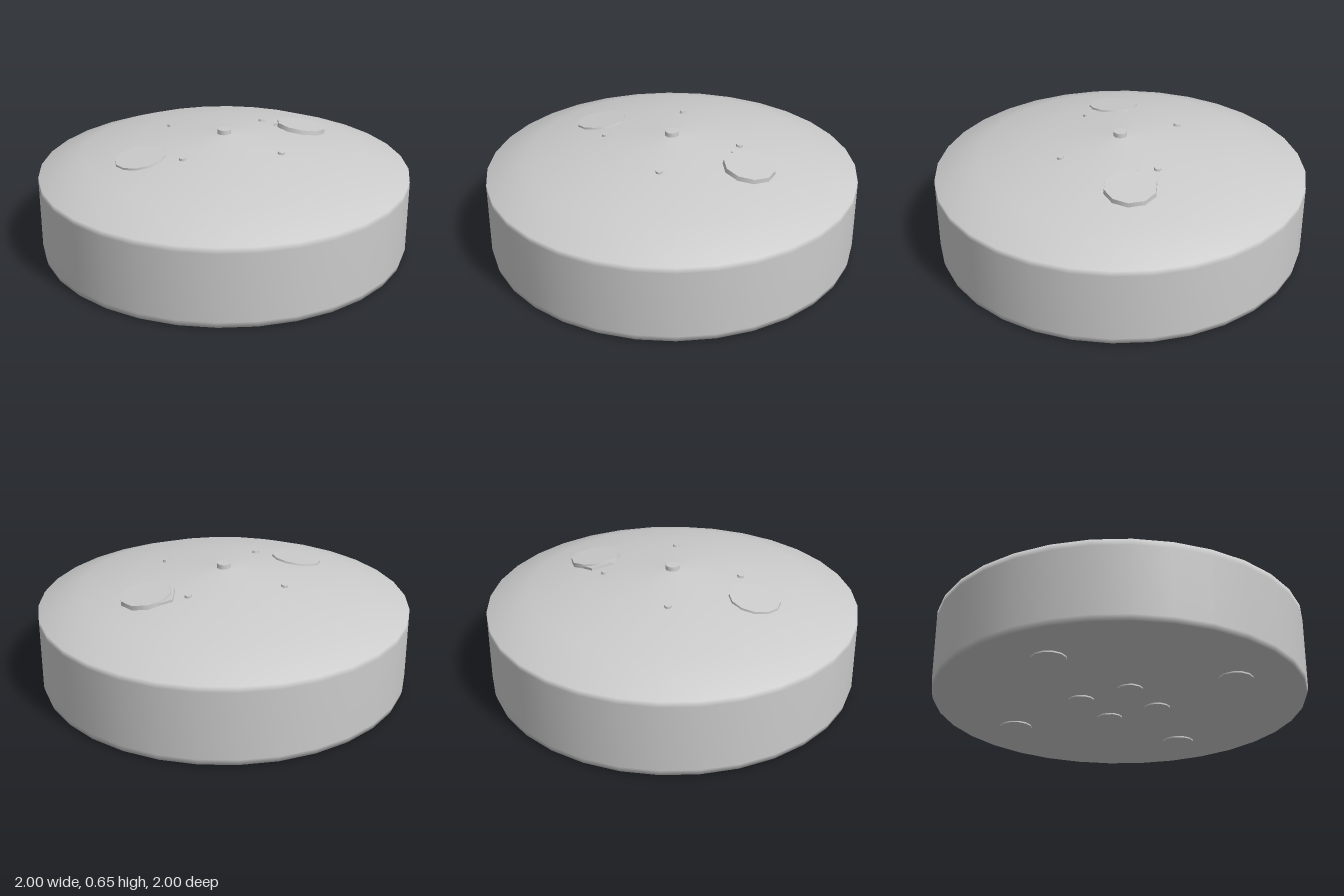
import * as THREE from 'three';

const material = new THREE.MeshStandardMaterial({ color: 0xcccccc });

// Dome outline from the crown down to the shoulder: [radius, height]
const dome = [[0, 0.63], [0.24, 0.606], [0.48, 0.574], [0.77, 0.52], [1, 0.432]];

function domeHeight(r) {
  for (let i = 1; i < dome.length; i++) {
    const [r0, y0] = dome[i - 1], [r1, y1] = dome[i];
    if (r <= r1) return y0 + (y1 - y0) * (r - r0) / (r1 - r0);
  }
  return 0.432;
}

function addMesh(parent, name, geometry) {
  const mesh = new THREE.Mesh(geometry, material);
  mesh.name = name;
  parent.add(mesh);
  return mesh;
}

// Group sitting on the dome, its y axis along the local surface normal
function domeMount(parent, name, x, z) {
  const r = Math.hypot(x, z);
  const slope = (domeHeight(r - 0.1) - domeHeight(r + 0.1)) / 0.2;
  const mount = new THREE.Group();
  mount.name = name;
  mount.position.set(x, domeHeight(r), z);
  const normal = new THREE.Vector3(x / r * slope, 1, z / r * slope).normalize();
  mount.quaternion.setFromUnitVectors(new THREE.Vector3(0, 1, 0), normal);
  parent.add(mount);
  return mount;
}

export function createModel() {
  const model = new THREE.Group();
  model.name = 'domedDisc';

  // Drum with a shallow dome, one smooth surface of revolution
  const profile = [[0, 0.008], [0.992, 0.008], [1, 0.04], [1, 0.4], ...dome.slice().reverse()];
  addMesh(model, 'body', new THREE.LatheGeometry(profile.map(([r, y]) => new THREE.Vector2(r, y)), 32));

  // Crown knob
  addMesh(model, 'crownKnob', new THREE.CylinderGeometry(0.036, 0.04, 0.05, 10)).position.y = 0.625;

  // Raised cap with a small pointed tab beside it
  const cap = domeMount(model, 'raisedCap', 0.21, -0.44);
  addMesh(cap, 'capDisc', new THREE.CylinderGeometry(0.135, 0.142, 0.05, 10)).position.y = -0.005;
  const tab = new THREE.Shape([[-0.165, 0], [-0.11, -0.11], [-0.06, 0], [-0.11, 0.07]]
    .map(([x, y]) => new THREE.Vector2(x, y)));
  const tabGeometry = new THREE.ExtrudeGeometry(tab, { depth: 0.014, bevelEnabled: false });
  tabGeometry.rotateX(-Math.PI / 2);
  addMesh(cap, 'capTab', tabGeometry).position.y = -0.004;

  // Nearly flush cap on the opposite side
  const flush = domeMount(model, 'flushCap', -0.22, 0.44);
  addMesh(flush, 'flushDisc', new THREE.CylinderGeometry(0.135, 0.14, 0.03, 12)).position.y = -0.008;

  for (let i = 0; i < 4; i++) {
    const a = i * Math.PI / 2;
    const d = a + Math.PI / 4;

    // Studs around the crown
    const stud = domeMount(model, 'stud', 0.365 * Math.sin(a), 0.365 * Math.cos(a));
    addMesh(stud, 'studHead', new THREE.CylinderGeometry(0.018, 0.022, 0.024, 8));

    // Inner and outer pads under the base
    addMesh(model, 'innerPad', new THREE.CylinderGeometry(0.07, 0.07, 0.02, 12))
      .position.set(0.21 * Math.sin(a), 0.01, 0.21 * Math.cos(a));
    addMesh(model, 'outerPad', new THREE.CylinderGeometry(0.09, 0.09, 0.02, 12))
      .position.set(0.68 * Math.sin(d), 0.01, 0.68 * Math.cos(d));
  }
  return model;
}
